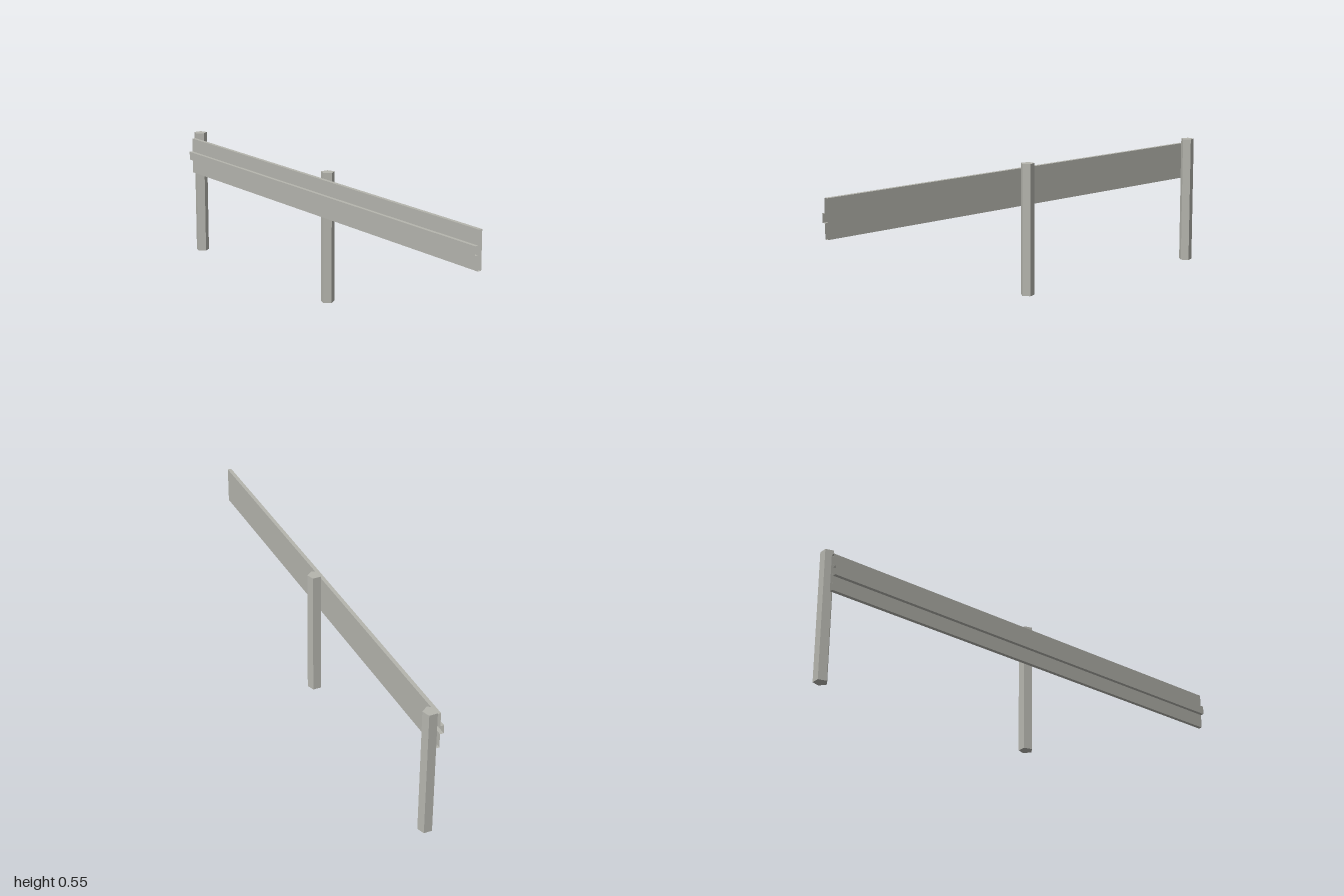
import * as THREE from 'three';

// Sweeps a closed [z, y] outline along x, leaving both ends open.
function sweepAlongX(outline, x0, x1) {
  const pos = [];
  outline.forEach(([z, y], i) => {
    const [zn, yn] = outline[(i + 1) % outline.length];
    pos.push(x0, y, z, x1, y, z, x1, yn, zn);
    pos.push(x0, y, z, x1, yn, zn, x0, yn, zn);
  });
  const geometry = new THREE.BufferGeometry();
  geometry.setAttribute('position', new THREE.Float32BufferAttribute(pos, 3));
  geometry.computeVertexNormals();
  return geometry;
}

export function createModel() {
  const model = new THREE.Group();
  model.name = 'guardRail';

  const steel = new THREE.MeshStandardMaterial({ color: 0xb5b5ae, side: THREE.DoubleSide });
  steel.name = 'galvanisedSteel';

  const railStart = -0.977, railEnd = 1;
  const back = 0.012, face = 0.028, ridge = 0.043;

  // Flat rail with a raised square ridge along its middle
  const outline = [
    [back, 0.367], [face, 0.367], [face, 0.427], [ridge, 0.427],
    [ridge, 0.463], [face, 0.463], [face, 0.522], [back, 0.522],
  ];
  const rail = new THREE.Mesh(sweepAlongX(outline, railStart, railEnd), steel);
  rail.name = 'rail';
  model.add(rail);

  // Five-sided posts behind the rail, one corner pointing along +x
  const height = 0.545, radius = 0.029;
  const postGeometry = new THREE.CylinderGeometry(radius, radius, height, 5, 1, false, Math.PI / 2).toNonIndexed();
  postGeometry.computeVertexNormals();
  const spacing = (railEnd - railStart) / 2;
  ['endPost', 'middlePost'].forEach((name, i) => {
    const post = new THREE.Mesh(postGeometry, steel);
    post.name = name;
    post.position.set(railStart + i * spacing, height / 2, -0.0155);
    model.add(post);
  });

  return model;
}
